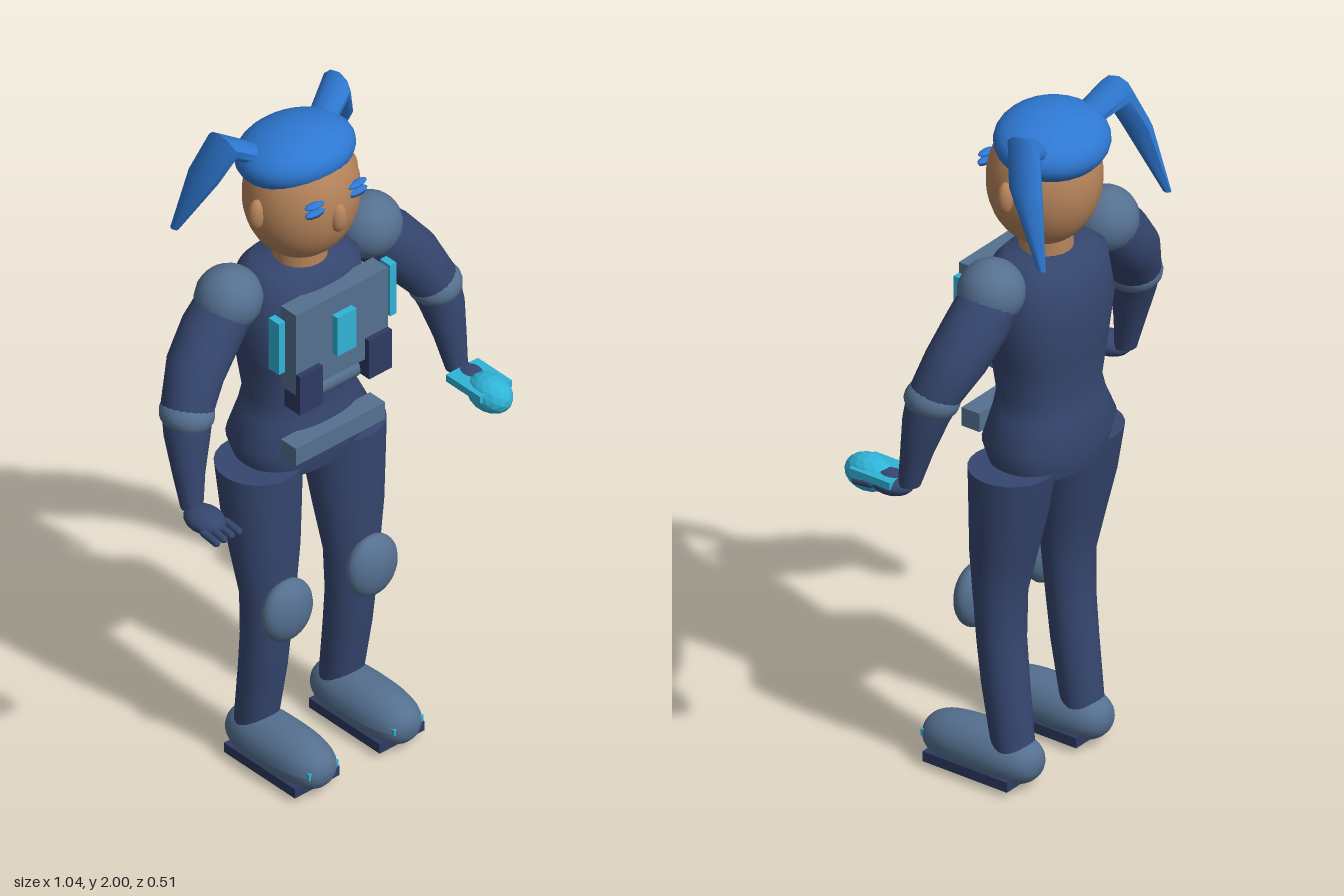
import * as THREE from 'three';
import { toCreasedNormals } from 'three/addons/utils/BufferGeometryUtils.js';

const mat = (name, color, flatShading = false) => {
  const m = new THREE.MeshStandardMaterial({ color, flatShading });
  m.name = name;
  return m;
};

// Closed skin over elliptical rings [x, y, z, rx, rz, tilt in degrees], listed from top to bottom.
function loft(rings, n = 24, power = 2) {
  const pos = [], idx = [];
  const bend = (c) => Math.sign(c) * Math.pow(Math.abs(c), 2 / power);
  for (const [x, y, z, rx, rz, tilt = 0] of rings) {
    const t = THREE.MathUtils.degToRad(tilt);
    for (let j = 0; j < n; j++) {
      const a = (j / n) * Math.PI * 2;
      const u = rx * bend(Math.cos(a));
      pos.push(x + u * Math.cos(t), y + u * Math.sin(t), z + rz * bend(Math.sin(a)));
    }
  }
  const last = (rings.length - 1) * n, top = rings.length * n;
  for (const r of [rings[0], rings[rings.length - 1]]) pos.push(r[0], r[1], r[2]);
  for (let j = 0; j < n; j++) {
    const k = (j + 1) % n;
    for (let s = 0; s < last; s += n) {
      idx.push(s + j, s + k, s + n + j, s + k, s + n + k, s + n + j);
    }
    idx.push(top, k, j, top + 1, last + j, last + k);
  }
  const g = new THREE.BufferGeometry();
  g.setAttribute('position', new THREE.Float32BufferAttribute(pos, 3));
  g.setIndex(idx);
  return toCreasedNormals(g, 0.9);
}

// Mirrors ring lists to the other side
const mirror = (rings, s) => rings.map(([x, y, z, rx, rz, t = 0]) => [x * s, y, z, rx, rz, t * s]);

// Ellipsoid whose ends along z are blunter than a sphere's
function bootGeometry() {
  const g = new THREE.SphereGeometry(1, 28, 20).rotateX(Math.PI / 2);
  const p = g.attributes.position;
  for (let i = 0; i < p.count; i++) {
    const z = Math.min(1, Math.abs(p.getZ(i))), r = Math.hypot(p.getX(i), p.getY(i));
    if (r < 1e-4) continue;
    const k = Math.pow(1 - Math.pow(z, 2.8), 1 / 2.8) / r;
    p.setXY(i, p.getX(i) * k, p.getY(i) * k);
  }
  g.scale(0.083, 0.077, 0.183);
  g.computeVertexNormals();
  return g;
}

export function createModel() {
  const model = new THREE.Group();
  model.name = 'figure';
  const skin = mat('skin', 0xb5835a);
  const hair = mat('hair blue', 0x2e78d2);
  const suit = mat('suit navy', 0x35466f);
  const dark = mat('dark navy', 0x2d3a62);
  const armor = mat('armor grey blue', 0x557090);
  const glow = mat('cyan', 0x30b4d8);
  const facetGlow = mat('faceted cyan', 0x30b4d8, true);

  const add = (name, geo, material, x = 0, y = 0, z = 0) => {
    const m = new THREE.Mesh(geo, material);
    m.name = name;
    m.position.set(x, y, z);
    model.add(m);
    return m;
  };
  const box = (name, m, x, y, z, w, h, d) => add(name, new THREE.BoxGeometry(w, h, d), m, x, y, z);
  const ball = (name, m, x, y, z, rx, ry, rz, n = 24) =>
    add(name, new THREE.SphereGeometry(1, n, Math.ceil(n * 0.7)).scale(rx, ry, rz), m, x, y, z);

  // Head
  ball('head', skin, 0, 1.765, -0.045, 0.162, 0.19, 0.152, 32);
  add('neck', new THREE.CylinderGeometry(0.07, 0.075, 0.1, 20), skin, 0, 1.58, -0.05);
  ball('nose', skin, 0, 1.755, 0.1, 0.025, 0.045, 0.024, 16);
  const cap = ball('hairCap', hair, 0, 1.885, -0.07, 0.172, 0.088, 0.148, 28);
  cap.rotation.x = -0.15;

  // Torso
  add('torso', loft([
    [0, 1.562, -0.06, 0.13, 0.1], [0, 1.53, -0.06, 0.175, 0.128], [0, 1.4, -0.06, 0.2, 0.142],
    [0, 1.27, -0.06, 0.178, 0.13], [0, 1.15, -0.06, 0.158, 0.117], [0, 1.1, -0.06, 0.172, 0.124],
    [0, 1.02, -0.06, 0.212, 0.14], [0, 0.93, -0.06, 0.18, 0.122],
  ], 32, 2.3), suit);

  // Chest and belt gear
  box('chestPlate', armor, 0, 1.39, 0.085, 0.325, 0.26, 0.06);
  box('chestScreen', glow, 0, 1.398, 0.115, 0.068, 0.125, 0.04);
  add('bellyBar', new THREE.CylinderGeometry(0.032, 0.032, 0.17, 16).rotateZ(Math.PI / 2), armor, 0, 1.215, 0.065);
  box('belt', armor, 0, 1.053, 0.08, 0.315, 0.055, 0.06);

  const armRings = [
    [0.235, 1.53, -0.06, 0.08, 0.08, 41], [0.31, 1.45, -0.055, 0.088, 0.085, 41],
    [0.38, 1.37, -0.04, 0.083, 0.083, 36], [0.435, 1.28, -0.012, 0.069, 0.073, 20],
    [0.45, 1.21, 0.005, 0.062, 0.062, 6], [0.462, 1.11, 0.025, 0.045, 0.044, 4],
    [0.468, 1.01, 0.045, 0.031, 0.03, 2],
  ];
  const legRings = [
    [0.148, 0.955, -0.05, 0.118, 0.118], [0.148, 0.82, -0.04, 0.112, 0.104],
    [0.148, 0.7, -0.025, 0.101, 0.088], [0.148, 0.56, -0.012, 0.083, 0.067],
    [0.15, 0.42, -0.018, 0.074, 0.062], [0.15, 0.3, -0.03, 0.069, 0.062],
    [0.15, 0.1, -0.058, 0.062, 0.055],
  ];
  const tailRings = [
    [0.1, 1.9, -0.09, 0.03, 0.042, 130], [0.2, 1.96, -0.13, 0.041, 0.055, 75],
    [0.238, 1.86, -0.165, 0.028, 0.052, 15], [0.272, 1.665, -0.243, 0.009, 0.013, 10],
  ];

  for (const s of [1, -1]) {
    const side = s > 0 ? 'left' : 'right';
    // Face and hair
    ball(side + 'Ear', skin, s * 0.163, 1.767, -0.04, 0.025, 0.046, 0.023, 16);
    const brow = ball(side + 'Brow', hair, s * 0.074, 1.823, 0.09, 0.034, 0.008, 0.014, 14);
    brow.rotation.z = s * 0.06;
    ball(side + 'Eye', hair, s * 0.074, 1.801, 0.092, 0.035, 0.007, 0.014, 14);
    ball(side + 'EyeLine', dark, s * 0.074, 1.793, 0.092, 0.03, 0.005, 0.012, 14);
    add(side + 'Pigtail', loft(mirror(tailRings, s), 10), hair);

    // Arms
    add(side + 'Arm', loft(mirror(armRings, s)), suit);
    ball(side + 'ShoulderPad', armor, s * 0.247, 1.528, -0.057, 0.094, 0.092, 0.091, 18);
    const band = ball(side + 'ElbowBand', armor, s * 0.438, 1.272, -0.008, 0.074, 0.058, 0.077, 20);
    band.rotation.z = s * 0.2;
    ball(side + 'Hand', suit, s * 0.471, 1.0, 0.1, 0.05, 0.032, 0.065, 18);
    for (let i = 0; i < 4; i++) {
      const f = add(side + 'Finger', new THREE.CapsuleGeometry(0.011, 0.05, 4, 8).rotateX(Math.PI / 2),
        suit, s * (0.433 + i * 0.026), 0.993, 0.165);
      f.rotation.x = 0.12;
    }

    // Chest details
    box(side + 'ChestStrip', glow, s * 0.197, 1.422, 0.078, 0.022, 0.165, 0.04);
    box(side + 'Pouch', dark, s * 0.122, 1.265, 0.1, 0.08, 0.125, 0.062);

    // Legs and boots
    add(side + 'Leg', loft(mirror(legRings, s)), suit);
    ball(side + 'KneePad', armor, s * 0.15, 0.53, 0.065, 0.083, 0.094, 0.046);
    add(side + 'Boot', bootGeometry(), armor, s * 0.15, 0.077, 0.042);
    box(side + 'Sole', dark, s * 0.15, 0.032, 0.045, 0.158, 0.03, 0.28);
    box(side + 'ToeLight', glow, s * 0.15, 0.084, 0.2, 0.105, 0.02, 0.022);
  }

  // Device on the left hand
  add('handDevice', new THREE.IcosahedronGeometry(1, 2).scale(0.053, 0.052, 0.073), facetGlow, 0.465, 1.0, 0.18);
  box('handDevicePlate', glow, 0.464, 1.016, 0.138, 0.113, 0.022, 0.135);

  return model;
}
